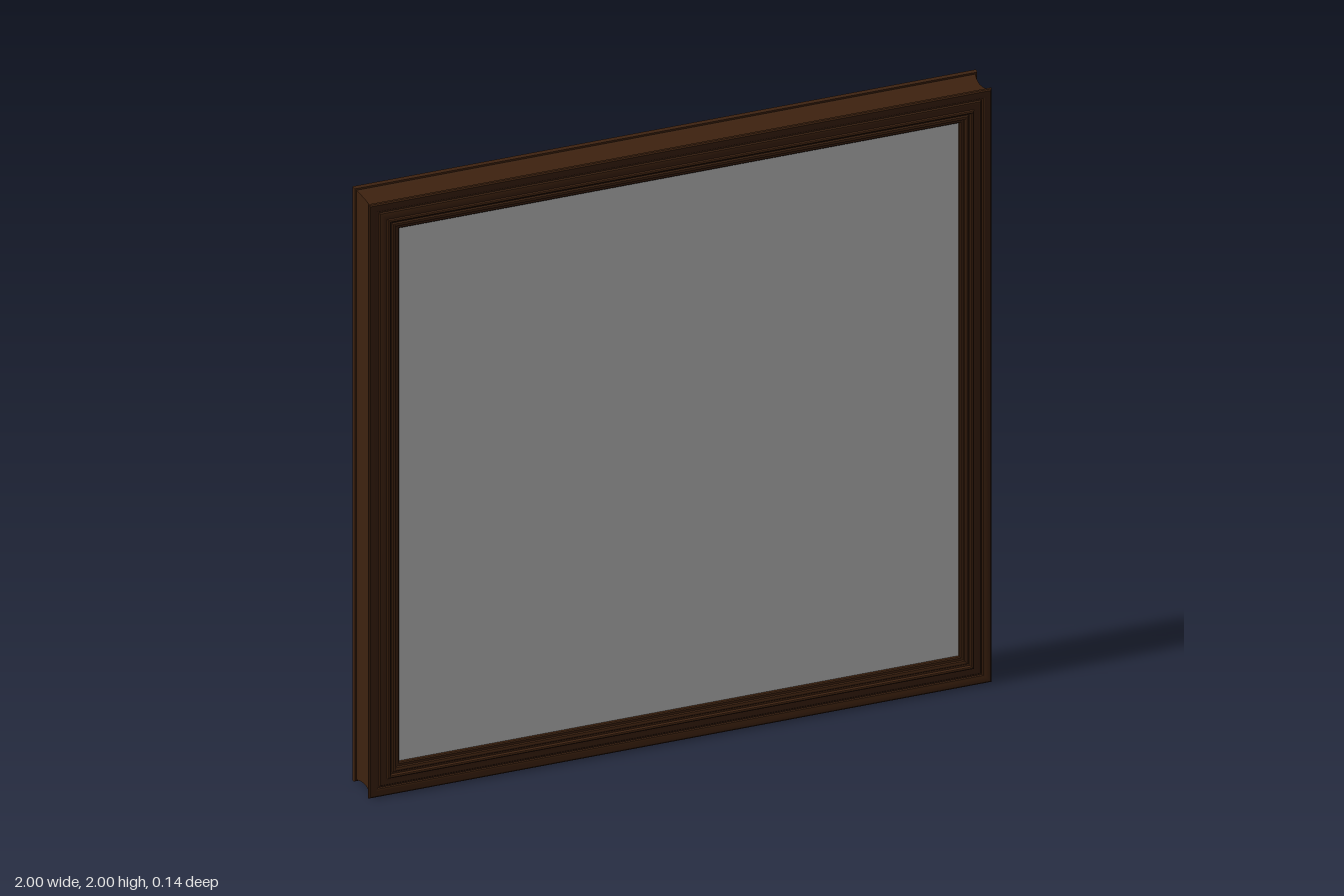
import * as THREE from 'three';
import { toCreasedNormals } from 'three/addons/utils/BufferGeometryUtils.js';

const HALF = 1;

// Sweep a profile of [inset from outer edge, z] around a square with mitred corners
function mitredFrame(profile) {
  const corners = [[1, -1], [1, 1], [-1, 1], [-1, -1]];
  const positions = [];
  const point = (c, [inset, z]) => [c[0] * (HALF - inset), c[1] * (HALF - inset), z];
  corners.forEach((a, k) => {
    const b = corners[(k + 1) % 4];
    for (let i = 0; i < profile.length - 1; i++) {
      const p = point(a, profile[i]), q = point(b, profile[i]);
      const r = point(b, profile[i + 1]), s = point(a, profile[i + 1]);
      positions.push(...p, ...q, ...r, ...p, ...r, ...s);
    }
  });
  const geometry = new THREE.BufferGeometry();
  geometry.setAttribute('position', new THREE.Float32BufferAttribute(positions, 3));
  return toCreasedNormals(geometry, 0.6);
}

export function createModel() {
  const wood = new THREE.MeshStandardMaterial({ color: 0x3e220f });
  wood.name = 'dark wood';
  const pane = new THREE.MeshStandardMaterial({ color: 0xcccccc });
  pane.name = 'pale grey';

  const group = new THREE.Group();
  group.name = 'pictureFrame';
  const add = (name, geometry, material, z = 0) => {
    const mesh = new THREE.Mesh(geometry, material);
    mesh.name = name;
    mesh.position.set(0, HALF, z);
    group.add(mesh);
    return mesh;
  };

  // Shallow cove along the outer sides, between the two lips
  const cove = [];
  for (let i = 0; i <= 8; i++) {
    const t = i / 8;
    cove.push([0.007 + 0.007 * Math.sin(Math.PI * t), -0.055 + 0.105 * t]);
  }

  // Moulding: back lip, cove, front lip, groove, raised bead, inner steps
  add('moulding', mitredFrame([
    [0, -0.07], [0, -0.059], [0.002, -0.056],
    ...cove,
    [0.001, 0.052], [0, 0.055], [0.001, 0.06], [0.005, 0.063],
    [0.024, 0.063], [0.028, 0.061], [0.03, 0.057], [0.034, 0.057],
    [0.037, 0.061], [0.043, 0.063], [0.055, 0.063], [0.058, 0.063],
    [0.06, 0.068], [0.064, 0.07], [0.068, 0.068], [0.07, 0.06],
    [0.075, 0.059], [0.078, 0.063], [0.083, 0.064], [0.088, 0.061],
    [0.09, 0.056], [0.097, 0.055], [0.1, 0.052], [0.1, 0.04],
  ]), wood);

  // Flat backing board flush with the back lip
  add('backBoard', new THREE.PlaneGeometry(2, 2), wood, -0.07).rotation.y = Math.PI;

  // Blank pane recessed inside the moulding
  add('pane', new THREE.BoxGeometry(1.81, 1.81, 0.008), pane, 0.039);

  return group;
}
